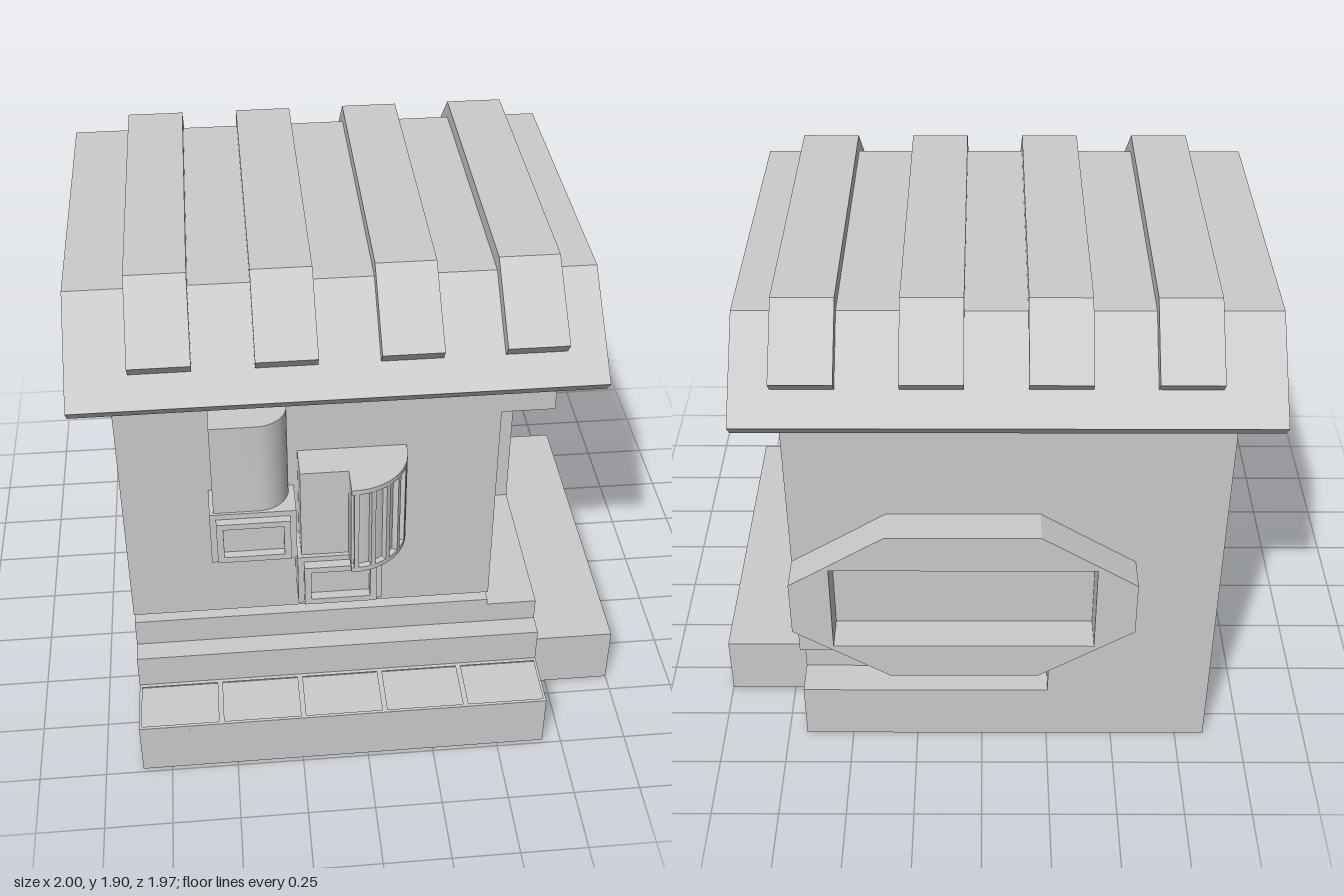
import * as THREE from 'three';
import { toCreasedNormals } from 'three/addons/utils/BufferGeometryUtils.js';

const grey = new THREE.MeshStandardMaterial({ color: 0xcccccc });

export function createModel() {
  const model = new THREE.Group();

  const add = (name, geometry) => {
    const mesh = new THREE.Mesh(geometry, grey);
    mesh.name = name;
    model.add(mesh);
    return mesh;
  };

  const extrude = (pts, holes, depth) => {
    const toVec = (list) => list.map(([x, y]) => new THREE.Vector2(x, y));
    const shape = new THREE.Shape(toVec(pts));
    for (const h of holes) shape.holes.push(new THREE.Path(toVec(h)));
    return new THREE.ExtrudeGeometry(shape, { depth, bevelEnabled: false });
  };

  const rect = (a0, a1, b0, b1) => [[a0, b0], [a1, b0], [a1, b1], [a0, b1]];

  const box = (name, x0, x1, y0, y1, z0, z1) =>
    add(name, new THREE.BoxGeometry(x1 - x0, y1 - y0, z1 - z0)
      .translate((x0 + x1) / 2, (y0 + y1) / 2, (z0 + z1) / 2));

  // (z, y) outline run along x
  const alongX = (name, pts, x0, x1, holes = []) => {
    const flip = (list) => list.map(([z, y]) => [-z, y]);
    return add(name, extrude(flip(pts), holes.map(flip), x1 - x0)
      .rotateY(Math.PI / 2).translate(x0, 0, 0));
  };

  // (x, z) outline run along y
  const alongY = (name, pts, y0, y1, holes = []) => {
    const flip = (list) => list.map(([x, z]) => [x, -z]);
    const g = extrude(flip(pts), holes.map(flip), y1 - y0).rotateX(-Math.PI / 2).translate(0, y0, 0);
    return add(name, toCreasedNormals(g, 0.5));
  };

  // (x, y) outline run along z
  const alongZ = (name, pts, z0, z1, holes = []) =>
    add(name, extrude(pts, holes, z1 - z0).translate(0, 0, z0));

  // House walls: slabs across the width, each with the openings at its depth
  const frontWall = [[0.68, 0.475], [0.53, 0.475], [0.53, 0.515], [0.68, 0.515], [0.68, 1.55]];
  const alcove = [[0.68, 0.45], [0.04, 0.45], [0.04, 1.38], [0.68, 1.38], [0.68, 1.55]];
  const gable = [[0.42, 1.78], [-0.62, 1.78], [-0.85, 1.55]];
  const plainBack = [[-0.85, 0]];
  const cutBack = [[-0.85, 0.445], [-0.72, 0.445], [-0.72, 0.235], [-0.85, 0.235], [-0.85, 0]];
  const door = rect(0.04, 0.4, 0.45, 1.38);
  const deepWindow = rect(-0.22, 0.02, 1.04, 1.245);
  const longWindow = rect(-0.58, 0.02, 1.04, 1.245);
  const slantWindow = [[-0.63, 1.03], [-0.63, 1.225], [-0.835, 1.09], [-0.835, 0.93]];
  const slabs = [
    [-0.86, -0.25, frontWall, plainBack, []],
    [-0.25, 0.34, frontWall, cutBack, []],
    [0.34, 0.49, frontWall, cutBack, [door]],
    [0.49, 0.59, alcove, cutBack, []],
    [0.59, 0.64, alcove, cutBack, [deepWindow]],
    [0.64, 0.68, alcove, cutBack, [longWindow, slantWindow]],
  ];
  for (const [x0, x1, front, back, holes] of slabs)
    alongX('houseWall', [[0.68, 0], ...front, ...gable, ...back], x0, x1, holes);

  // Roof shell and battens
  alongX('roof', [[0.81, 1.57], [0.48, 1.84], [-0.69, 1.84], [-0.98, 1.57], [-0.935, 1.52],
    [-0.62, 1.78], [0.42, 1.78], [0.765, 1.52]], -1, 0.83);
  for (let i = 0; i < 4; i++) {
    const x = -0.79 + i * 0.424;
    alongX('roofBatten', [[0.75, 1.695], [0.495, 1.9], [-0.705, 1.9], [-0.92, 1.7], [-0.88, 1.655],
      [-0.69, 1.83], [0.48, 1.83], [0.715, 1.65]], x, x + 0.212);
  }

  // Steps, the front one with five shallow trays
  box('sideStep', 0.68, 1, 0, 0.24, -0.61, 0.68);
  box('upperStep', -0.86, 0.68, 0, 0.36, 0.68, 0.76);
  box('frontStep', -0.86, 0.68, 0, 0.2, 0.76, 0.985);
  const trays = [];
  for (let i = 0; i < 5; i++) {
    const x = -0.85 + i * 0.308;
    trays.push(rect(x, x + 0.288, 0.775, 0.973));
  }
  alongY('trayRim', rect(-0.86, 0.68, 0.76, 0.985), 0.2, 0.22, trays);

  // Back window surround
  const cx = 0.065, half = 0.615, flat = 0.27;
  alongZ('backWindowFrame', [
    [cx - half, 0.665], [cx - flat, 0.445], [cx + flat, 0.445], [cx + half, 0.665],
    [cx + half, 0.885], [cx + flat, 1.105], [cx - flat, 1.105], [cx - half, 0.885],
  ], -0.98, -0.85, [rect(cx - 0.47, cx + 0.47, 0.595, 0.955)]);

  // Small framed boxes on the front wall
  const framedBox = (name, x0, x1, y0, y1, z0, z1) => {
    box(name, x0, x1, y0, y1, 0.68, z0);
    alongZ(name + 'Frame', rect(x0 + 0.022, x1 - 0.022, y0 + 0.022, y1 - 0.022), z0, z1,
      [rect(x0 + 0.046, x1 - 0.046, y0 + 0.046, y1 - 0.046)]);
  };
  framedBox('upperBox', -0.55, -0.245, 0.885, 1.105, 0.82, 0.85);
  framedBox('lowerBox', -0.245, 0.06, 0.665, 0.885, 0.825, 0.86);

  // Rounded housing
  const arc = (x, z, rx, rz, n, a0 = 0, a1 = Math.PI / 2) =>
    Array.from({ length: n + 1 }, (_, i) => {
      const a = a0 + (a1 - a0) * i / n;
      return [x + rx * Math.cos(a), z + rz * Math.sin(a)];
    });
  alongY('roundedHousing', [[-0.535, 0.68], [-0.265, 0.68], ...arc(-0.375, 0.7, 0.11, 0.11, 10),
    [-0.535, 0.81]], 1.105, 1.475);

  // Ribbed quarter drum with its side box
  const drum = (r) => [[-0.06, 0.68], [-0.05 + r, 0.68], ...arc(-0.05, 0.71, r, r, 12), [-0.06, 0.71 + r]];
  box('drumSideBox', -0.23, -0.06, 0.885, 1.26, 0.68, 0.81);
  alongY('drumCore', drum(0.185), 0.905, 1.24);
  alongY('drumRim', drum(0.207), 0.885, 0.905);
  alongY('drumRim', drum(0.207), 1.24, 1.26);
  for (let i = 0; i < 6; i++) {
    const a = i * (Math.PI / 2 - 0.08) / 5;
    alongY('drumRib', [...arc(-0.05, 0.71, 0.207, 0.207, 2, a, a + 0.08),
      ...arc(-0.05, 0.71, 0.18, 0.18, 2, a + 0.08, a)], 0.905, 1.24);
  }

  return model;
}
